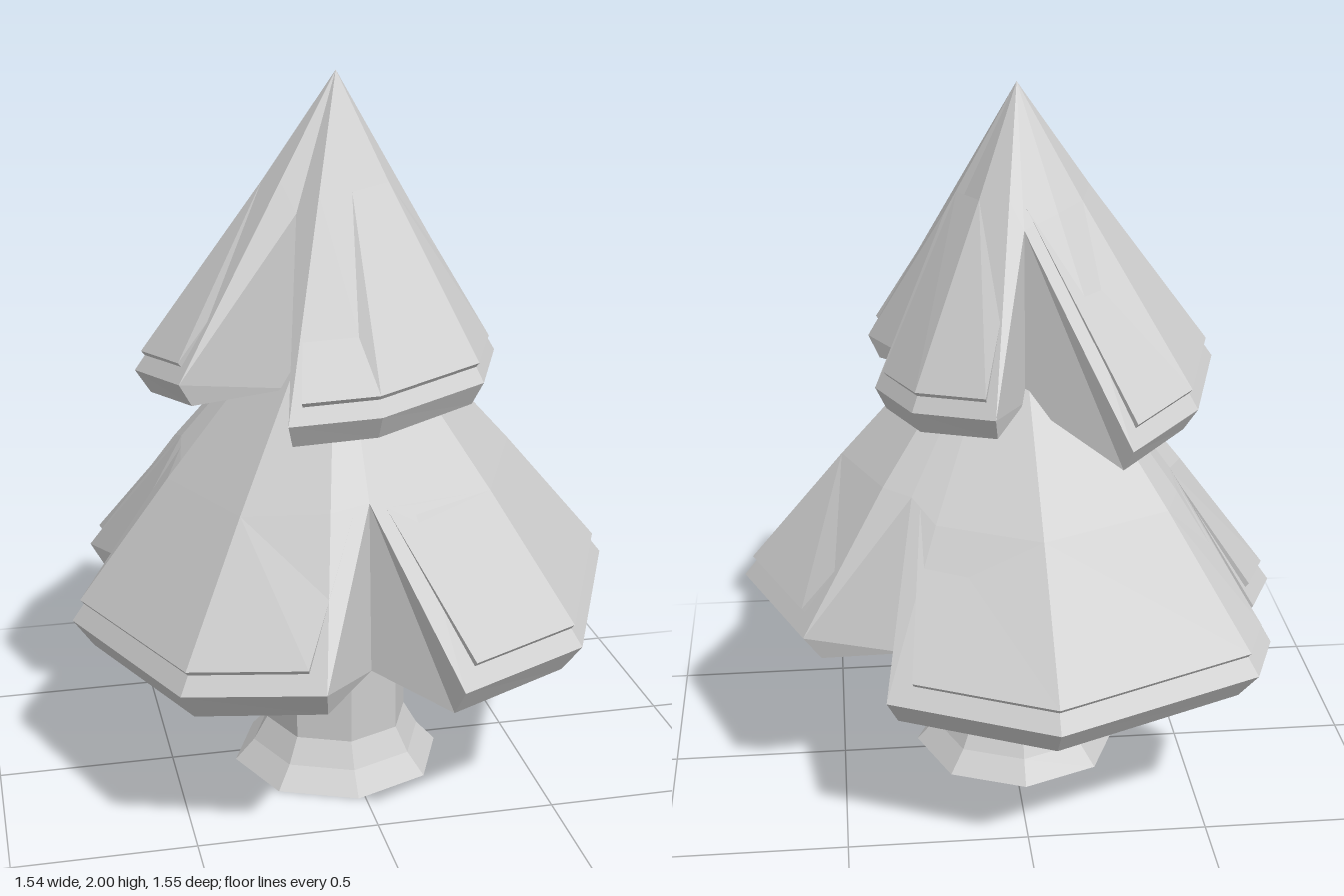
import * as THREE from 'three';

const AXIS = { x: -0.02, z: 0.05 };
const v = (p) => new THREE.Vector3(...p);
const mix = (a, b, t) => a.clone().lerp(b, t);

// Collects quads and turns them into one faceted mesh
function facets(name, material, quads) {
  const pos = [];
  for (const [a, b, c, d] of quads) {
    for (const p of [a, b, c, a, c, d]) pos.push(p.x, p.y, p.z);
  }
  const geo = new THREE.BufferGeometry();
  geo.setAttribute('position', new THREE.Float32BufferAttribute(pos, 3));
  geo.computeVertexNormals();
  const mesh = new THREE.Mesh(geo, material);
  mesh.name = name;
  return mesh;
}

// One skirt of foliage: lobes of rim points, each preceded by a V-shaped notch
function createTier(name, material, t) {
  const group = new THREE.Group();
  group.name = name;
  const apex = new THREE.Vector3(AXIS.x, t.apexY, AXIS.z);
  const under = new THREE.Vector3(AXIS.x, t.underY, AXIS.z);

  // Every column runs mid slope -> rim edge -> lower edge
  const rimColumn = (p) => {
    const edge = v(p);
    const mid = mix(apex, edge, t.midAt);
    mid.y += t.bulge;
    const low = mix(new THREE.Vector3(AXIS.x, edge.y, AXIS.z), edge, 0.925);
    low.y -= t.thick;
    return { mid, edge, low };
  };
  const notchColumn = ([x, z]) => {
    const n = new THREE.Vector3(x, t.notchY, z);
    const foot = new THREE.Vector3(
      AXIS.x + (x - AXIS.x) * t.flare, t.footY, AXIS.z + (z - AXIS.z) * t.flare);
    return { mid: n, edge: n, low: foot };
  };

  const lobes = t.lobes.map((l) => l.map(rimColumn));
  const notches = t.notches.map(notchColumn);
  const ring = lobes.flatMap((l, i) => [notches[i], ...l]);

  // Main body: slope, rim, notch walls and underside
  const quads = [];
  ring.forEach((a, i) => {
    const b = ring[(i + 1) % ring.length];
    quads.push([apex, a.mid, b.mid, apex]);
    quads.push([a.mid, a.edge, b.edge, b.mid]);
    quads.push([a.edge, a.low, b.low, b.edge]);
    quads.push([a.low, under, b.low, b.low]);
  });
  group.add(facets(name + 'Body', material, quads));

  // Raised panel on each lobe, fading into the slope towards the top
  lobes.forEach((lobe, i) => {
    const last = lobe.length - 1;
    const cols = lobe.map((c, k) => {
      let up = c.mid;
      const base = mix(c.mid, c.edge, t.panelAt);
      if (k === 0 || k === last) {
        const next = lobe[k === 0 ? 1 : last - 1];
        const notch = notches[k === 0 ? i : (i + 1) % notches.length];
        up = mix(notch.mid, c.mid, t.panelSide).lerp(apex, t.panelLift);
        base.lerp(mix(next.mid, next.edge, t.panelAt), 0.13);
      }
      const out = new THREE.Vector3(base.x - AXIS.x, 0, base.z - AXIS.z).normalize();
      const top = base.clone().addScaledVector(out, 0.01);
      top.y += 0.012;
      return { up, base, top };
    });
    const panel = [];
    for (let k = 0; k < last; k++) {
      const a = cols[k], b = cols[k + 1];
      panel.push([a.up, a.top, b.top, b.up], [a.top, a.base, b.base, b.top]);
    }
    const s = cols[0], e = cols[last];
    panel.push([s.up, s.base, s.top, s.top], [e.up, e.top, e.base, e.base]);
    group.add(facets(name + 'Panel', material, panel));
  });
  return group;
}

export function createModel() {
  const model = new THREE.Group();
  model.name = 'tree';
  const grey = new THREE.MeshStandardMaterial({
    color: 0xcccccc, flatShading: true, side: THREE.DoubleSide });

  // Eight-sided trunk with flared foot
  const profile = [[0, 0], [0.3, 0], [0.245, 0.06], [0.205, 0.13], [0.2, 0.6]]
    .map(([r, y]) => new THREE.Vector2(r, y));
  const trunk = new THREE.Mesh(new THREE.LatheGeometry(profile, 8), grey);
  trunk.position.set(AXIS.x, 0, AXIS.z);
  trunk.name = 'trunk';
  model.add(trunk);

  // Wide lower foliage
  model.add(createTier('lowerFoliage', grey, {
    apexY: 1.5, underY: 0.61, midAt: 0.63, bulge: 0.03, thick: 0.08, panelAt: 0.88,
    notchY: 0.95, footY: 0.49, flare: 1.08, panelSide: 0.35, panelLift: 0,
    notches: [[-0.03, 0.5], [0.295, -0.275], [-0.43, -0.135]],
    lobes: [
      [[0.165, 0.51, 0.757], [0.525, 0.54, 0.62], [0.77, 0.57, 0.07], [0.6, 0.59, -0.375]],
      [[0.385, 0.5, -0.59], [-0.055, 0.49, -0.78], [-0.615, 0.51, -0.56], [-0.68, 0.53, -0.405]],
      [[-0.7, 0.48, -0.1], [-0.775, 0.49, 0.05], [-0.55, 0.51, 0.62], [-0.2, 0.55, 0.77]],
    ],
  }));

  // Pointed upper foliage
  model.add(createTier('upperFoliage', grey, {
    apexY: 2, underY: 1.2, midAt: 0.36, bulge: 0, thick: 0.065, panelAt: 0.92,
    notchY: 1.65, footY: 1.18, flare: 1.15, panelSide: 0.1, panelLift: 0.14,
    notches: [[-0.155, 0.185], [0.175, 0.05], [-0.02, -0.16]],
    lobes: [
      [[-0.245, 1.18, 0.52], [-0.01, 1.2, 0.555], [0.29, 1.235, 0.435], [0.39, 1.25, 0.195]],
      [[0.38, 1.185, -0.055], [0.29, 1.2, -0.29], [0.08, 1.225, -0.43]],
      [[-0.285, 1.11, -0.4], [-0.48, 1.17, -0.265], [-0.575, 1.21, 0.045], [-0.49, 1.24, 0.3]],
    ],
  }));
  return model;
}
